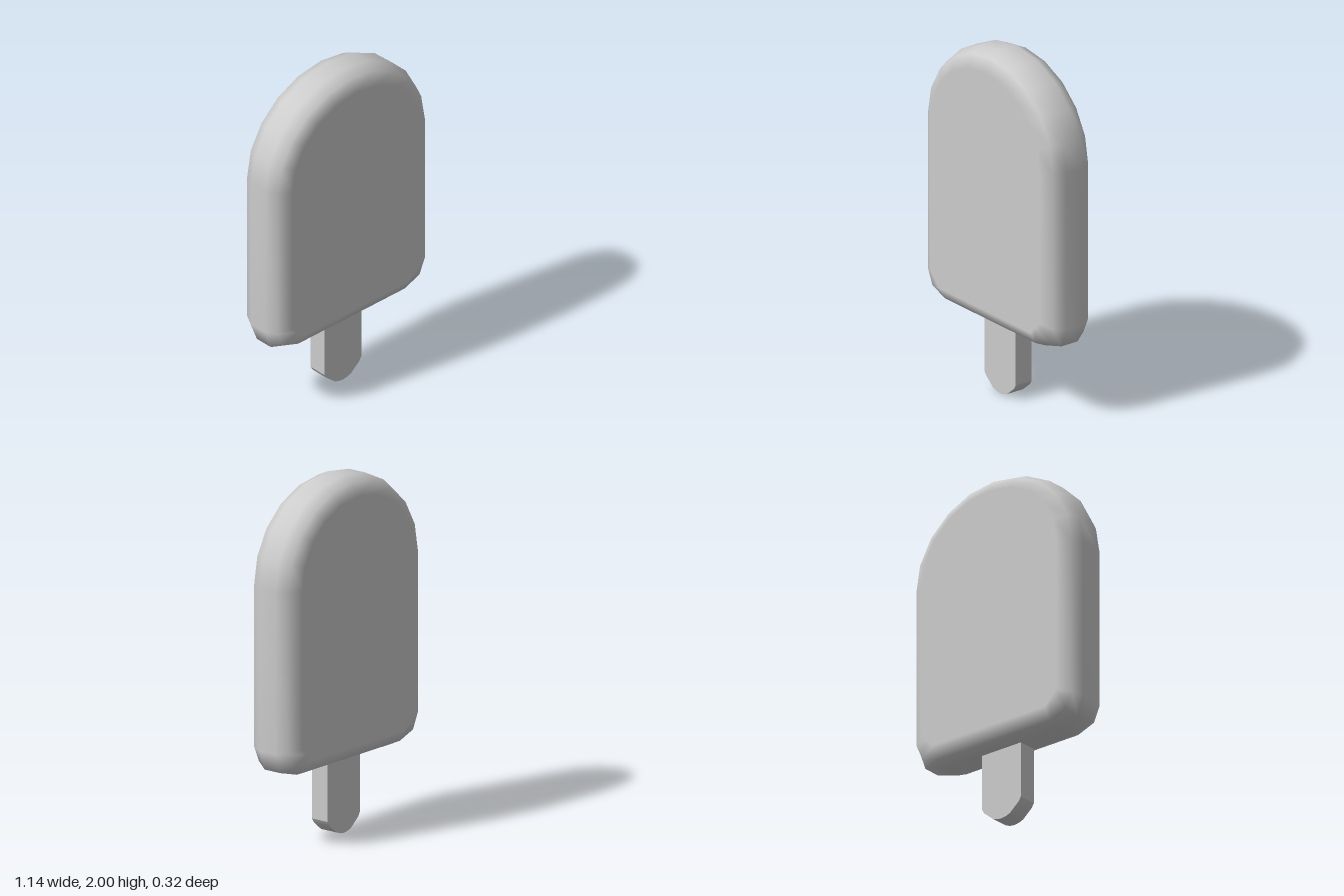
import * as THREE from 'three';
import { toCreasedNormals } from 'three/addons/utils/BufferGeometryUtils.js';

// Arched outline, inset by d, counter-clockwise from the lower right
function outline(d) {
  const right = [[0.39, 0.41 + d], [0.53 - d, 0.45 + d], [0.57 - d, 0.56 + 0.3 * d]];
  const arch = [];
  for (let i = 0; i <= 10; i++) {
    const a = (i / 10) * Math.PI;
    arch.push([(0.57 - d) * Math.cos(a), 1.47 + (0.53 - d) * Math.sin(a)]);
  }
  const left = right.map(([x, y]) => [-x, y]).reverse();
  return [...right, ...arch, ...left];
}

// Rounded slab: outlines stacked from back to front, closed by flat faces
function slabGeometry() {
  const layers = [[-0.16, 0.1], [-0.12, 0.03], [-0.055, 0], [0.055, 0], [0.12, 0.03], [0.16, 0.1]];
  const positions = [], index = [];
  for (const [z, d] of layers) for (const [x, y] of outline(d)) positions.push(x, y, z);
  const n = outline(0).length;
  const back = layers.length * n, front = back + 1;
  positions.push(0, 1.2, -0.16, 0, 1.2, 0.16);

  for (let j = 0; j < n; j++) {
    const k = (j + 1) % n;
    for (let i = 0; i < layers.length - 1; i++) {
      const a = i * n + j, b = i * n + k;
      index.push(a, b, b + n, a, b + n, a + n);
    }
    const last = (layers.length - 1) * n;
    index.push(back, k, j, front, last + j, last + k);
  }

  const geometry = new THREE.BufferGeometry();
  geometry.setAttribute('position', new THREE.Float32BufferAttribute(positions, 3));
  geometry.setIndex(index);
  geometry.computeVertexNormals();
  // Keep the large faces flat so only the rim is rounded
  const p = geometry.attributes.position, normal = geometry.attributes.normal;
  for (let i = 0; i < p.count; i++) {
    if (Math.abs(p.getZ(i)) > 0.15) normal.setXYZ(i, 0, 0, Math.sign(p.getZ(i)));
  }
  return geometry;
}

// Flat stick with a rounded lower end
function stickGeometry() {
  const half = [[0.135, 0.45], [0.135, 0.09], [0.12, 0.065], [0.06, 0.015], [0.03, 0.004]];
  const points = [...half, [0, 0], ...half.map(([x, y]) => [-x, y]).reverse()];
  const shape = new THREE.Shape(points.map(([x, y]) => new THREE.Vector2(x, y)));
  const geometry = new THREE.ExtrudeGeometry(shape, { depth: 0.11, bevelEnabled: false });
  geometry.translate(0, 0, -0.055);
  return toCreasedNormals(geometry, 0.5);
}

export function createModel() {
  const group = new THREE.Group();
  group.name = 'icePop';
  const grey = new THREE.MeshStandardMaterial({ color: 0xcccccc });
  grey.name = 'light grey';

  const body = new THREE.Mesh(slabGeometry(), grey);
  body.name = 'iceBody';
  const stick = new THREE.Mesh(stickGeometry(), grey);
  stick.name = 'stick';
  group.add(body, stick);
  return group;
}
